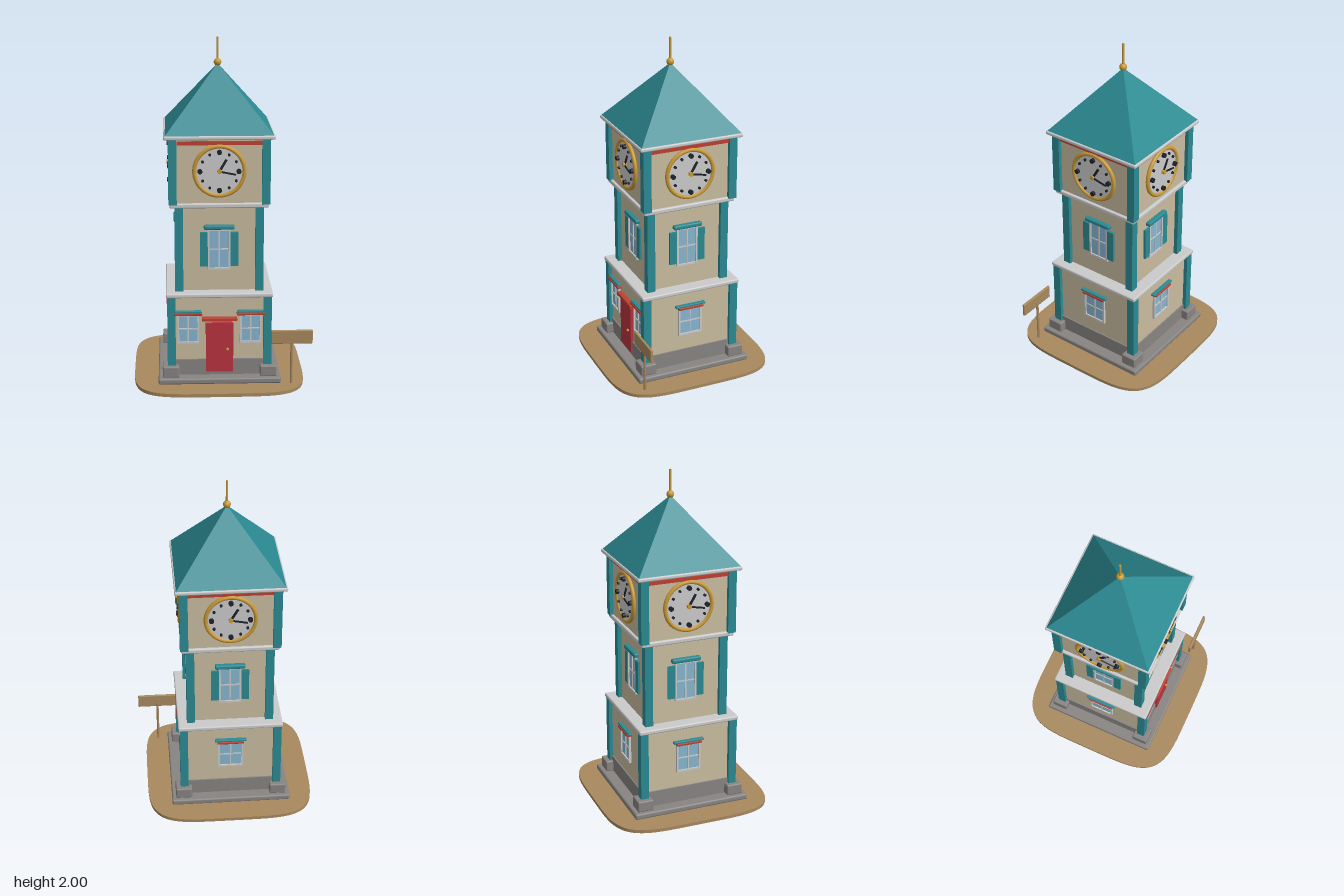
import * as THREE from 'three';
import { RoundedBoxGeometry } from 'three/addons/geometries/RoundedBoxGeometry.js';

const mat = (name, color) => new THREE.MeshStandardMaterial({ name, color });

export function createModel() {
  const M = {
    earth: mat('earthBrown', 0xa8895e), stone: mat('stoneGrey', 0x878482),
    wall: mat('creamWall', 0xc9bc9f), teal: mat('teal', 0x2b8a92),
    trim: mat('paleTrim', 0xcbcbcb), glass: mat('windowBlue', 0x86b6d0),
    red: mat('trimRed', 0xbf4030), door: mat('doorRed', 0xb8323f),
    gold: mat('gold', 0xc99a38), dark: mat('clockBlack', 0x1e2228),
  };
  const model = new THREE.Group();
  model.name = 'clockTower';

  const add = (parent, name, geo, material, x = 0, y = 0, z = 0) => {
    const m = new THREE.Mesh(geo, material);
    m.name = name;
    m.position.set(x, y, z);
    parent.add(m);
    return m;
  };
  // Box given by its width, vertical range and depth range
  const box = (parent, name, material, x, w, y0, y1, z0, z1, r = 0) => add(parent, name,
    r ? new RoundedBoxGeometry(w, y1 - y0, z1 - z0, 2, r) : new THREE.BoxGeometry(w, y1 - y0, z1 - z0),
    material, x, (y0 + y1) / 2, (z0 + z1) / 2);
  const slab = (parent, name, material, half, y0, y1, r = 0) =>
    box(parent, name, material, 0, 2 * half, y0, y1, -half, half, r);
  // Disc whose axis points out of the wall
  const disc = (parent, name, material, r, x, y, z0, z1, seg = 16) => {
    const m = add(parent, name, new THREE.CylinderGeometry(r, r, z1 - z0, seg), material, x, y, (z0 + z1) / 2);
    m.rotation.x = Math.PI / 2;
    return m;
  };

  // Ground plate with a squarish rounded outline
  const pts = [];
  for (let i = 0; i < 96; i++) {
    const a = (i / 96) * Math.PI * 2, c = Math.cos(a), s = Math.sin(a), e = 2 / 4.6;
    pts.push(new THREE.Vector2(0.5 * Math.sign(c) * Math.abs(c) ** e, 0.5 * Math.sign(s) * Math.abs(s) ** e));
  }
  const plate = new THREE.ExtrudeGeometry(new THREE.Shape(pts), { depth: 0.02, bevelEnabled: false });
  plate.rotateX(-Math.PI / 2);
  add(model, 'ground', plate, M.earth, -0.02, 0, 0);

  const tower = new THREE.Group();
  tower.name = 'tower';
  tower.position.x = -0.02;
  model.add(tower);

  // Stone footing
  slab(tower, 'plinth', M.stone, 0.357, 0.02, 0.055, 0.01);
  slab(tower, 'stoneBase', M.stone, 0.288, 0.05, 0.15);

  // Three storeys with corner pillars and cornices
  const storeys = [
    { name: 'lower', wall: 0.28, outer: 0.303, y0: 0.055, y1: 0.535, cornice: 0.31, top: 0.558 },
    { name: 'middle', wall: 0.232, outer: 0.256, y0: 0.55, y1: 1.062, cornice: 0.283, top: 1.087 },
    { name: 'upper', wall: 0.267, outer: 0.29, y0: 1.08, y1: 1.462, cornice: 0.315, top: 1.482 },
  ];
  for (const s of storeys) {
    slab(tower, s.name + 'Wall', M.wall, s.wall, s.y0, s.y1);
    slab(tower, s.name + 'Cornice', M.trim, s.cornice, s.y1 - 0.003, s.top, 0.008);
    for (const sx of [-1, 1]) for (const sz of [-1, 1]) {
      const c = s.outer - 0.024;
      box(tower, s.name + 'Pillar', M.teal, sx * c, 0.048, s.y0, s.y1, sz * c - 0.024, sz * c + 0.024);
      if (s.name === 'lower') box(tower, 'cornerBlock', M.stone, sx * 0.284, 0.097, 0.053, 0.12, sz * 0.284 - 0.0485, sz * 0.284 + 0.0485, 0.008);
    }
  }

  // Framed window with cross bars
  const addWindow = (parent, x, w, y0, y1, z) => {
    const g = new THREE.Group();
    g.name = 'window';
    parent.add(g);
    const f = 0.011, ym = (y0 + y1) / 2;
    box(g, 'glass', M.glass, x, w - f, y0 + f / 2, y1 - f / 2, z - 0.005, z + 0.005);
    for (const s of [-1, 1]) {
      box(g, 'frameSide', M.trim, x + s * (w - f) / 2, f, y0, y1, z - 0.005, z + 0.014);
      const yc = ym + s * (y1 - y0 - f) / 2;
      box(g, 'frameRail', M.trim, x, w, yc - f / 2, yc + f / 2, z - 0.005, z + 0.013);
    }
    box(g, 'mullion', M.trim, x, 0.008, y0, y1, z, z + 0.01);
    box(g, 'crossBar', M.trim, x, w, ym - 0.004, ym + 0.004, z, z + 0.009);
  };
  const lowerWindow = (parent, x, w, redW, tealW) => {
    addWindow(parent, x, w, 0.25, 0.428, 0.28);
    box(parent, 'windowHood', M.red, x, redW, 0.424, 0.439, 0.275, 0.308, 0.004);
    box(parent, 'windowHoodCap', M.teal, x, tealW, 0.437, 0.45, 0.275, 0.303, 0.004);
  };

  const addHand = (parent, dx, dy, w, z) => {
    const len = Math.hypot(dx, dy);
    const h = add(parent, 'clockHand', new THREE.BoxGeometry(w, len, 0.005), M.dark, dx / 2, 1.275 + dy / 2, z);
    h.rotation.z = -Math.atan2(dx, dy);
  };
  const addClock = (parent) => {
    const g = new THREE.Group();
    g.name = 'clock';
    parent.add(g);
    disc(g, 'clockFace', M.trim, 0.142, 0, 1.275, 0.262, 0.28, 48);
    add(g, 'clockRim', new THREE.TorusGeometry(0.142, 0.012, 10, 48), M.gold, 0, 1.275, 0.278);
    for (let i = 0; i < 12; i++) {
      const a = (i * Math.PI) / 6, big = i % 3 === 0;
      disc(g, 'hourMark', M.dark, big ? 0.014 : 0.008, 0.11 * Math.sin(a), 1.275 + 0.11 * Math.cos(a), 0.278, big ? 0.297 : 0.29, 12);
    }
    addHand(g, 0.04, 0.068, 0.014, 0.286);
    addHand(g, 0.094, -0.019, 0.01, 0.291);
    disc(g, 'clockHub', M.gold, 0.013, 0, 1.275, 0.278, 0.298);
  };

  // Four faces of the tower; the first one carries the door
  for (let i = 0; i < 4; i++) {
    const face = new THREE.Group();
    face.name = ['frontFace', 'leftFace', 'backFace', 'rightFace'][i];
    face.rotation.y = (i * Math.PI) / 2;
    tower.add(face);

    addClock(face);
    box(face, 'redBand', M.red, 0, 0.482, 1.425, 1.446, 0.26, 0.28);

    addWindow(face, 0, 0.132, 0.685, 0.927, 0.232);
    for (const s of [-1, 1]) box(face, 'shutter', M.teal, s * 0.0885, 0.045, 0.705, 0.907, 0.228, 0.246);
    box(face, 'windowHood', M.teal, 0, 0.177, 0.925, 0.951, 0.228, 0.26, 0.008);

    if (i > 0) {
      lowerWindow(face, 0, 0.15, 0.158, 0.188);
      continue;
    }
    for (const s of [-1, 1]) lowerWindow(face, s * 0.182, 0.127, 0.163, 0.152);
    box(face, 'door', M.door, 0, 0.16, 0.075, 0.375, 0.275, 0.297);
    box(face, 'doorLintel', M.red, 0, 0.205, 0.389, 0.41, 0.275, 0.31, 0.004);
    add(face, 'doorKnob', new THREE.SphereGeometry(0.009, 12, 8), M.gold, 0.046, 0.215, 0.302);
  }

  // Pyramid roof and finial
  const roof = new THREE.ConeGeometry(0.309 * Math.SQRT2, 0.37, 4).toNonIndexed();
  roof.rotateY(Math.PI / 4);
  roof.computeVertexNormals();
  add(tower, 'roof', roof, M.teal, 0, 1.664, 0);
  add(tower, 'finialBall', new THREE.SphereGeometry(0.022, 20, 14), M.gold, 0, 1.856, 0);
  add(tower, 'finialRod', new THREE.CylinderGeometry(0.006, 0.007, 0.15, 10), M.gold, 0, 1.925, 0);

  // Signpost
  const sign = new THREE.Group();
  sign.name = 'signpost';
  model.add(sign);
  add(sign, 'signPole', new THREE.CylinderGeometry(0.008, 0.008, 0.28, 10), M.earth, 0.397, 0.15, 0.347);
  box(sign, 'signBoard', M.earth, 0.397, 0.242, 0.265, 0.347, 0.345, 0.361, 0.005);

  return model;
}
